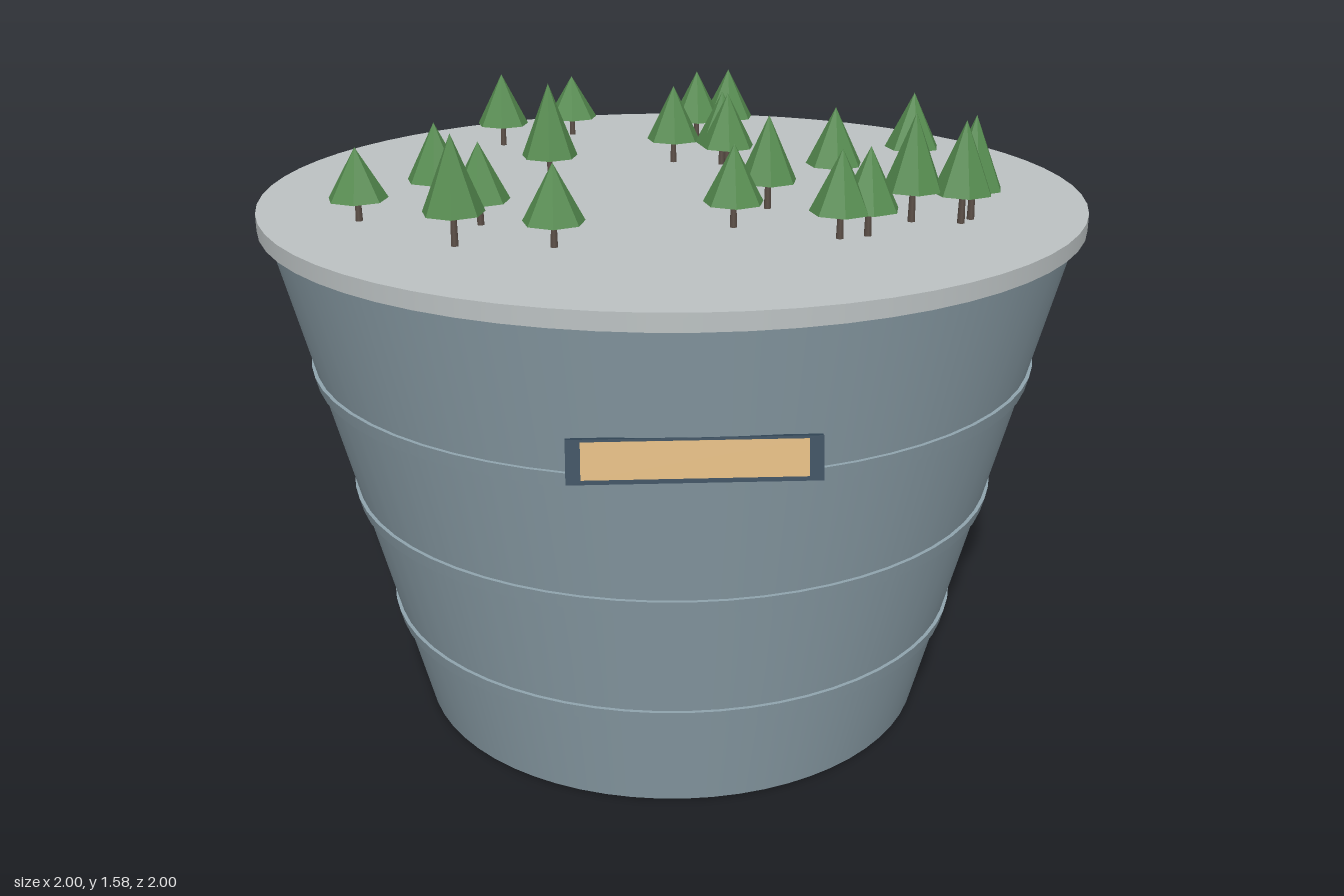
import * as THREE from 'three';

export function createModel() {
  const group = new THREE.Group();
  const mat = (name, color, flatShading = false) => {
    const m = new THREE.MeshStandardMaterial({ color, flatShading });
    m.name = name;
    return m;
  };
  const wallBlue = mat('blue grey wall', 0x90a4ae);
  const slabGrey = mat('pale grey slab', 0xbdc3c4);
  const frameDark = mat('dark frame', 0x34495a);
  const panelTan = mat('tan panel', 0xdab47c);
  const trunkBrown = mat('trunk brown', 0x5d5048);
  const leafGreen = mat('leaf green', 0x558b4f, true);

  const add = (parent, name, geometry, material, x = 0, y = 0, z = 0) => {
    const mesh = new THREE.Mesh(geometry, material);
    mesh.name = name;
    mesh.position.set(x, y, z);
    parent.add(mesh);
    return mesh;
  };

  // Tapered tub and its hoops
  const SLAB_BOTTOM = 1.28, SLAB_TOP = 1.32;
  const wallRadius = (y) => 0.653 + 0.254 * y;
  add(group, 'tubBody', new THREE.CylinderGeometry(wallRadius(SLAB_BOTTOM), wallRadius(0), SLAB_BOTTOM, 64),
    wallBlue, 0, SLAB_BOTTOM / 2);
  [0.267, 0.592, 0.918].forEach((y, i) => {
    const h = 0.035;
    add(group, `hoop${i + 1}`, new THREE.CylinderGeometry(
      wallRadius(y + h / 2) + 0.009, wallRadius(y - h / 2) + 0.009, h, 64), wallBlue, 0, y);
  });

  // Flat top slab
  add(group, 'topSlab', new THREE.CylinderGeometry(1, 1, SLAB_TOP - SLAB_BOTTOM, 64),
    slabGrey, 0, (SLAB_TOP + SLAB_BOTTOM) / 2);

  // Front window, tilted up a little
  const frontWindow = new THREE.Group();
  frontWindow.name = 'frontWindow';
  frontWindow.position.set(0, 0.985, 0.917);
  frontWindow.rotation.x = -0.23;
  add(frontWindow, 'windowFrame', new THREE.BoxGeometry(0.52, 0.092, 0.022), frameDark);
  add(frontWindow, 'windowPanel', new THREE.BoxGeometry(0.46, 0.077, 0.004), panelTan, 0, 0.002, 0.011);
  group.add(frontWindow);

  // Trees: x, z, height
  const trees = [
    [-0.25, -0.70, 0.165], [-0.44, -0.56, 0.195], [0.10, -0.61, 0.19], [0.19, -0.64, 0.19],
    [0.02, -0.32, 0.20], [0.145, -0.285, 0.19], [0.155, -0.23, 0.195], [0.63, -0.19, 0.20],
    [0.40, 0, 0.20], [-0.30, -0.05, 0.255], [-0.565, 0.12, 0.195], [-0.73, 0.27, 0.17],
    [-0.45, 0.32, 0.19], [0.215, 0.20, 0.22], [0.12, 0.37, 0.19], [0.53, 0.34, 0.25],
    [0.64, 0.36, 0.235], [0.67, 0.325, 0.24], [0.345, 0.48, 0.20], [0.41, 0.46, 0.20],
    [-0.495, 0.50, 0.245], [-0.28, 0.52, 0.185],
  ];
  const trunkGeometry = new THREE.CylinderGeometry(0.007, 0.009, 1, 6);
  const crownGeometry = new THREE.ConeGeometry(0.07, 1, 7);
  for (const [x, z, h] of trees) {
    const tree = new THREE.Group();
    tree.name = 'tree';
    tree.position.set(x, SLAB_TOP, z);
    add(tree, 'trunk', trunkGeometry, trunkBrown, 0, h * 0.16).scale.y = h * 0.32;
    add(tree, 'crown', crownGeometry, leafGreen, 0, h * 0.65).scale.y = h * 0.7;
    group.add(tree);
  }
  return group;
}
